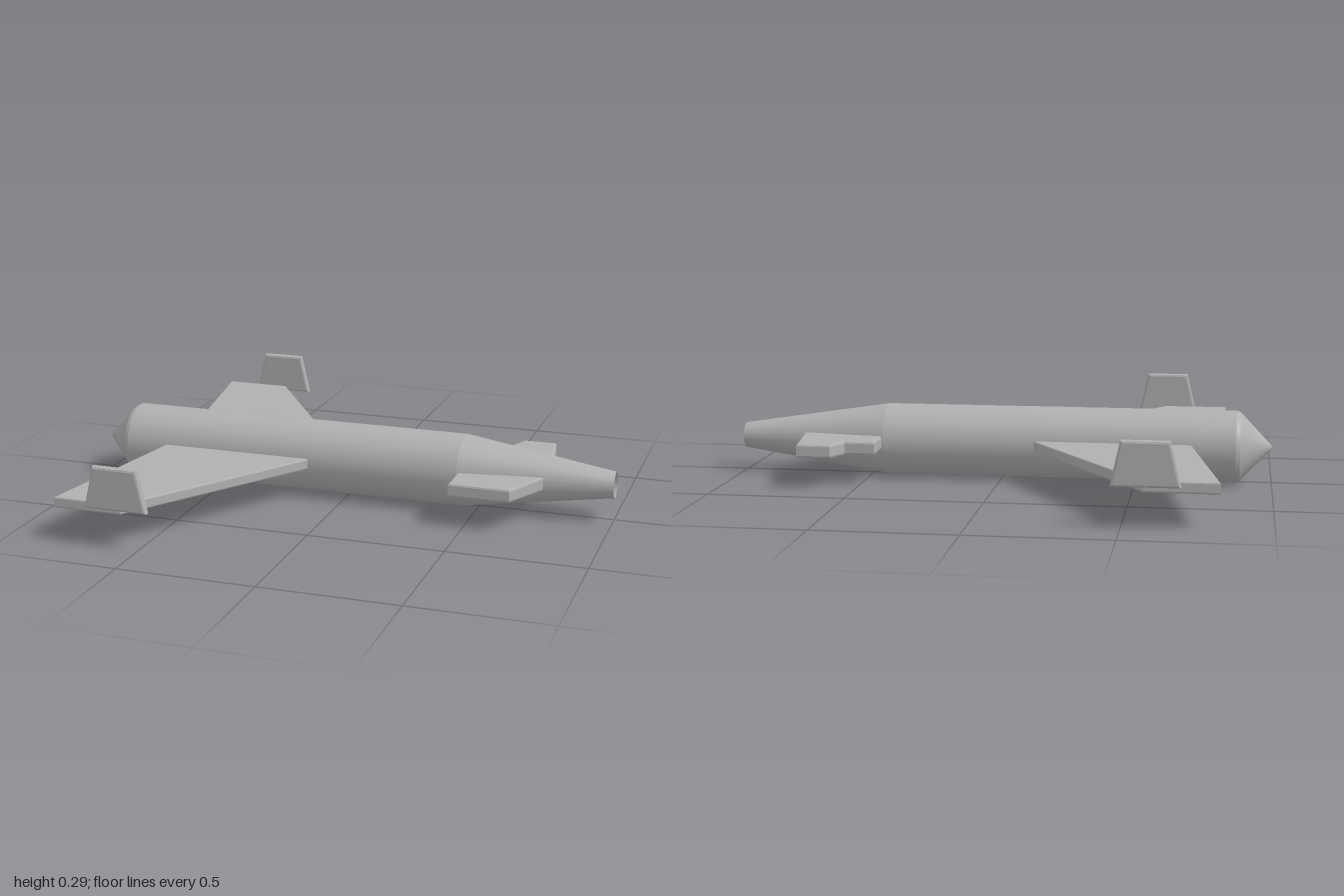
import * as THREE from 'three';
import { toCreasedNormals } from 'three/addons/utils/BufferGeometryUtils.js';

const AXIS_Y = 0.133;

// Outline extruded to a thickness, with softened edges kept inside the outline
function slab(points, thickness, bevel) {
  const shape = new THREE.Shape(points.map(([x, y]) => new THREE.Vector2(x, y)));
  const geometry = new THREE.ExtrudeGeometry(shape, {
    depth: thickness - 2 * bevel,
    bevelThickness: bevel,
    bevelSize: bevel,
    bevelOffset: -bevel,
    bevelSegments: 2,
  });
  return geometry.translate(0, 0, bevel - thickness / 2);
}

export function createModel() {
  const model = new THREE.Group();
  model.name = 'aircraft';
  const grey = new THREE.MeshStandardMaterial({ color: 0xb0b0b0 });
  grey.name = 'grey';
  const greyShell = new THREE.MeshStandardMaterial({ color: 0xb0b0b0, side: THREE.DoubleSide });
  greyShell.name = 'grey shell';

  const add = (name, geometry, material = grey) => {
    const mesh = new THREE.Mesh(geometry, material);
    mesh.name = name;
    model.add(mesh);
    return mesh;
  };
  // Horizontal surface: outline points are [x, z]
  const flat = (name, points, thickness, bevel, y) => {
    add(name, slab(points, thickness, bevel).rotateX(Math.PI / 2)).position.y = y;
  };

  // Hollow fuselage: pointed end at -x, open tapered end at +x
  const profile = [
    [0, -1], [0.012, -0.993], [0.116, -0.894], [0.127, -0.883],
    [0.133, -0.868], [0.133, 0.44], [0.048, 1],
  ].map(([r, x]) => new THREE.Vector2(r, x));
  const hull = new THREE.LatheGeometry(profile, 64).rotateZ(-Math.PI / 2);
  add('fuselage', toCreasedNormals(hull, 0.14), greyShell).position.y = AXIS_Y;

  // Mirrored wings with upright tip fins
  for (const [side, s] of [['Front', 1], ['Rear', -1]]) {
    flat('wing' + side, [
      [-0.702, s * 0.09], [-0.102, s * 0.09], [-0.57, s * 0.81], [-0.823, s * 0.81],
    ], 0.04, 0.006, 0.136);

    const fin = slab([[-0.697, 0.136], [-0.463, 0.136], [-0.497, 0.29], [-0.66, 0.29]], 0.03, 0.009);
    add('tipFin' + side, fin).position.z = s * 0.818;
  }

  // The two small stabilisers differ in outline
  flat('stabiliserFront', [
    [0.443, 0.08], [0.754, 0.08], [0.667, 0.257], [0.443, 0.257],
  ], 0.05, 0.008, 0.136);
  flat('stabiliserRear', [
    [0.443, 0], [0.762, 0], [0.713, -0.345], [0.588, -0.345], [0.553, -0.26], [0.443, -0.26],
  ], 0.05, 0.008, 0.136);

  return model;
}
